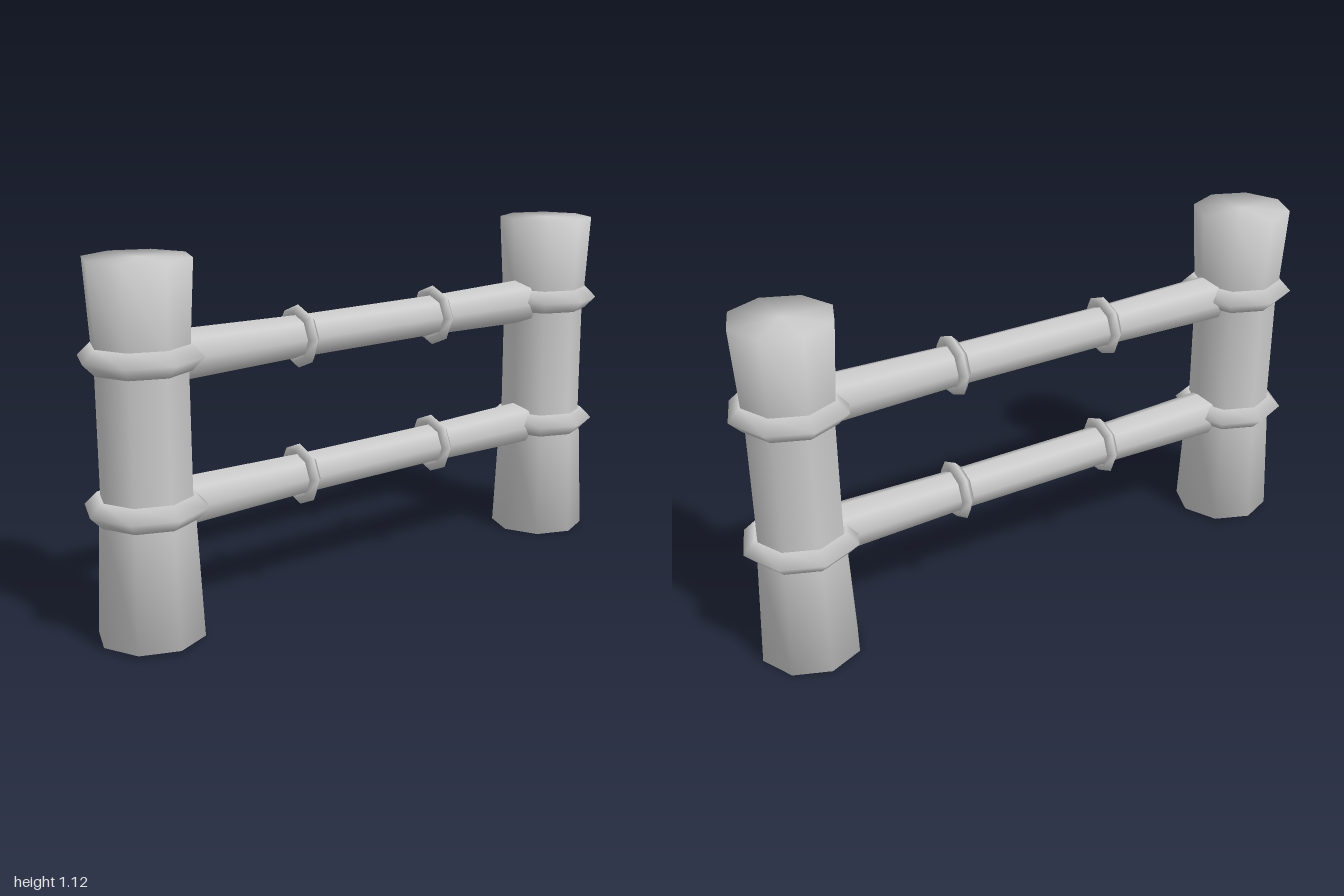
import * as THREE from 'three';

const SIDES = 8;
const material = new THREE.MeshStandardMaterial({ color: 0xcccccc });

// Smooth-shaded eight-sided turned part from [radius, height] pairs
function turned(name, profile) {
  const points = profile.map(([r, y]) => new THREE.Vector2(r, y));
  const mesh = new THREE.Mesh(new THREE.LatheGeometry(points, SIDES), material);
  mesh.name = name;
  return mesh;
}

// Ring with a diamond-shaped section
function ring(name, inner, outer, half, y) {
  const mid = (inner + outer) / 2;
  const mesh = turned(name, [[inner, 0], [mid, -half], [outer, 0], [mid, half], [inner, 0]]);
  mesh.position.y = y;
  return mesh;
}

// Flared post with two node rings
function post(name) {
  const group = new THREE.Group();
  group.name = name;
  group.add(turned('postStem', [
    [0, 0], [0.16, 0], [0.142, 0.38], [0.136, 0.42],
    [0.136, 0.81], [0.142, 0.86], [0.157, 1.112], [0, 1.112],
  ]));
  for (const y of [0.395, 0.833]) group.add(ring('postRing', 0.107, 0.183, 0.038, y));
  return group;
}

// Rail built upright, then laid along z
function rail(name) {
  const group = new THREE.Group();
  group.name = name;
  group.add(turned('railStem', [
    [0, -0.75], [0.077, -0.75], [0.066, -0.276],
    [0.066, 0.276], [0.077, 0.75], [0, 0.75],
  ]));
  for (const y of [-0.276, 0.276]) group.add(ring('railRing', 0.055, 0.098, 0.021, y));
  group.rotation.x = Math.PI / 2;
  return group;
}

export function createModel() {
  const model = new THREE.Group();
  model.name = 'fence';

  // Posts at both ends, the front one sitting a touch higher
  const front = post('frontPost');
  front.position.set(0, 0.008, 0.816);
  const back = post('backPost');
  back.position.set(0, 0, -0.816);
  model.add(front, back);

  // Two horizontal rails
  for (const [name, y] of [['lowerRail', 0.39], ['upperRail', 0.827]]) {
    const bar = rail(name);
    bar.position.set(0, y, -0.01);
    model.add(bar);
  }
  return model;
}
